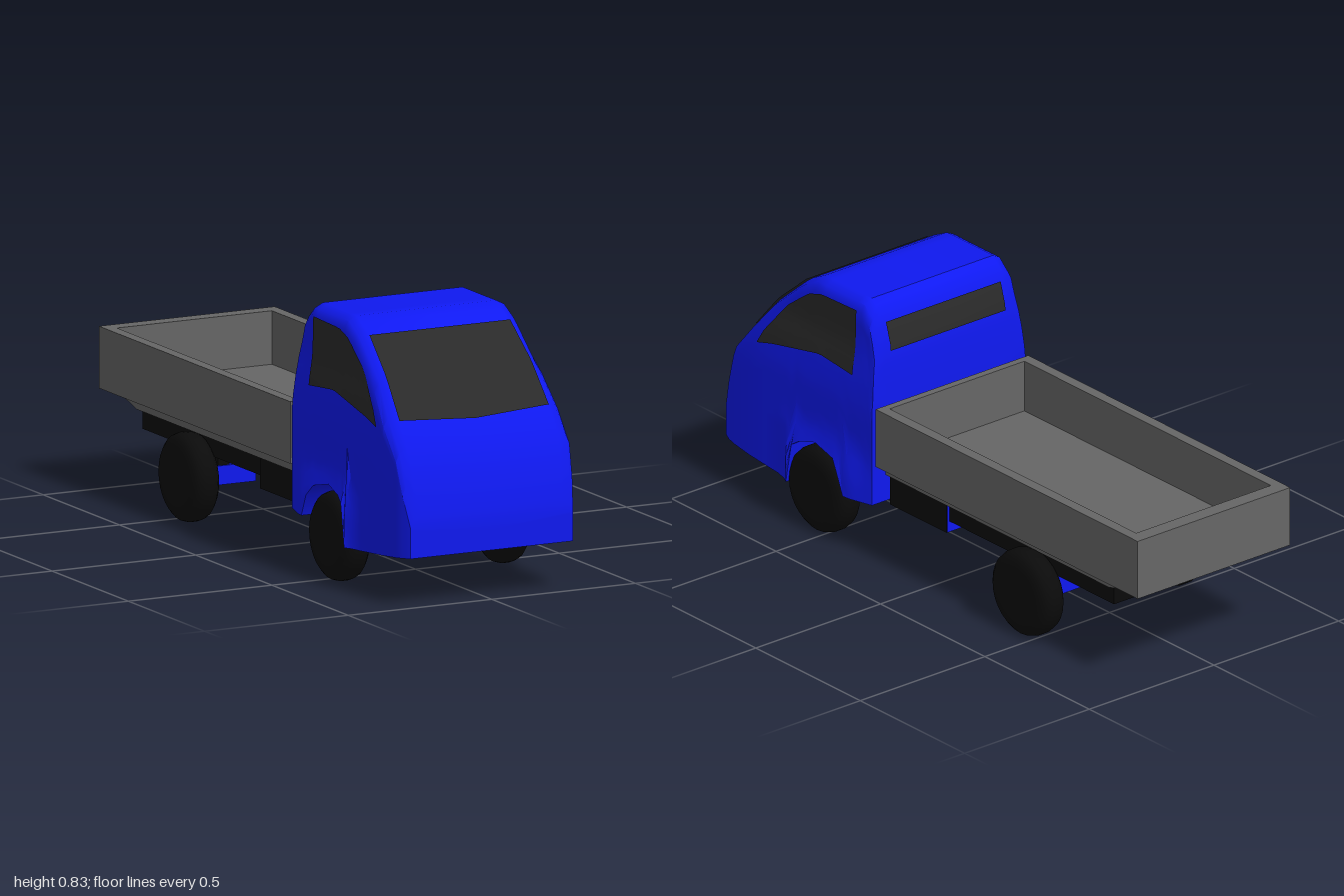
import * as THREE from 'three';
import { toCreasedNormals } from 'three/addons/utils/BufferGeometryUtils.js';

const paint = (color, side = THREE.FrontSide) => new THREE.MeshStandardMaterial({ color, side });
const BLUE = paint(0x0f19f0);
const GREY = paint(0x666666);
const BLACK = paint(0x0b0b0b);
const GLASS = paint(0x2a2a2a, THREE.DoubleSide);

// Piecewise linear lookup in a list of [input, output] pairs
function lookup(table, t) {
  if (t <= table[0][0]) return table[0][1];
  for (let i = 1; i < table.length; i++) {
    const [t0, v0] = table[i - 1], [t1, v1] = table[i];
    if (t <= t1) return v0 + (v1 - v0) * (t - t0) / (t1 - t0);
  }
  return table[table.length - 1][1];
}

// Skin over rows of points
function skin(rows, crease = 0.7) {
  const n = rows[0].length, index = [];
  for (let i = 0; i < rows.length - 1; i++) {
    for (let j = 0; j < n - 1; j++) {
      const a = i * n + j, b = a + 1, d = a + n, c = d + 1;
      index.push(a, b, c, a, c, d);
    }
  }
  const geometry = new THREE.BufferGeometry();
  geometry.setAttribute('position', new THREE.Float32BufferAttribute(rows.flat(2), 3));
  geometry.setIndex(index);
  return toCreasedNormals(geometry, crease);
}

// Cab outline: roof and windscreen line, sill with wheel arch, half width
const TOP = [[0.27, 0.58], [0.28, 0.7], [0.31, 0.8], [0.35, 0.835], [0.57, 0.835],
  [0.64, 0.8], [0.78, 0.68], [0.94, 0.49], [1, 0.29]];
const SILL = [[0.27, 0.18], [0.38, 0.18], [0.41, 0.25], [0.44, 0.285], [0.53, 0.305],
  [0.6, 0.285], [0.63, 0.265], [0.655, 0.13], [0.72, 0.13], [1, 0.155]];
const WIDTH = [[0.5, 0.308], [0.6, 0.298], [0.68, 0.286], [0.8, 0.283]];
const NOSE = [[0.88, 0], [0.96, 0.008], [1, 0.025]];
const FLARE_Z = [[0.27, 0], [0.36, 0.026], [0.65, 0.026], [0.7, 0]];
const FLARE_Y = [[0.25, 1], [0.35, 0]];

const halfWidth = (y, z) => lookup(WIDTH, y) - lookup(NOSE, z)
  + lookup(FLARE_Z, z) * lookup(FLARE_Y, y);

function cabSection(z) {
  const top = lookup(TOP, z), sill = lookup(SILL, z), half = [];
  for (let i = 0; i <= 14; i++) {
    const y = sill + (top - 0.04 - sill) * i / 14;
    half.push([halfWidth(y, z), y, z]);
  }
  const w = halfWidth(top, z);
  half.push([w - 0.012, top - 0.014, z], [w - 0.04, top, z]);
  const mirrored = half.map(([x, y]) => [-x, y, z]).reverse();
  return [[0, sill, z], ...half, [0, top, z], ...mirrored, [0, sill, z]];
}

function cabGeometry() {
  const stations = [0.27, 0.275, 0.28, 0.295, 0.31, 0.33, 0.35, 0.38, 0.41, 0.44, 0.485, 0.53,
    0.57, 0.6, 0.63, 0.655, 0.68, 0.72, 0.78, 0.86, 0.94, 0.97, 1];
  const rows = stations.map(cabSection);
  // Closed ends
  const cap = (row, y, z) => row.map(() => [0, y, z]);
  return skin([cap(rows[0], 0.38, 0.27), ...rows, cap(rows[0], 0.22, 1)]);
}

// Windscreen lying on the sloping front, its lower edge dipping in the middle
function windscreenGeometry() {
  const rows = [];
  for (let i = 0; i <= 10; i++) {
    const row = [];
    for (let j = -4; j <= 4; j++) {
      const s = j / 4, t = i / 10;
      const z = THREE.MathUtils.lerp(0.88 + 0.012 * (1 - Math.abs(s)), 0.655, t);
      row.push([s * (0.26 - 0.015 * t), lookup(TOP, z) + 0.004, z + 0.004]);
    }
    rows.push(row);
  }
  return skin(rows);
}

// Door window following the cab side
function sideWindowGeometry(side) {
  const upper = [[0.37, 0.8], [0.54, 0.795], [0.6, 0.775], [0.7, 0.7], [0.8, 0.58], [0.82, 0.542]];
  const lower = [[0.37, 0.585], [0.53, 0.6], [0.75, 0.557], [0.82, 0.538]];
  const rows = [];
  for (let i = 0; i <= 18; i++) {
    const z = 0.37 + 0.45 * i / 18, row = [];
    for (let j = 0; j <= 8; j++) {
      const y = THREE.MathUtils.lerp(lookup(lower, z), lookup(upper, z), j / 8);
      row.push([side * (halfWidth(y, z) + 0.004), y, z]);
    }
    rows.push(side > 0 ? row : row.reverse());
  }
  return skin(rows);
}

// Narrow window in the back of the cab
function rearWindowGeometry() {
  const rows = [[0.68, 0.278], [0.7, 0.28], [0.77, 0.301]].map(([y, z]) =>
    [[0.23, y, z - 0.005], [-0.23, y, z - 0.005]]);
  return skin(rows);
}

// Open tray: four walls around a rectangular well
function trayWallGeometry() {
  const rect = (Type, w, back, front) => new Type([[-w, -front], [w, -front], [w, -back], [-w, -back]]
    .map(([x, y]) => new THREE.Vector2(x, y)));
  const shape = rect(THREE.Shape, 0.306, -1, 0.255);
  shape.holes.push(rect(THREE.Path, 0.27, -0.95, 0.23));
  return new THREE.ExtrudeGeometry(shape, { depth: 0.195, bevelEnabled: false })
    .rotateX(-Math.PI / 2).translate(0, 0.316, 0);
}

// Sub-frame below the tray, sloping up at its tail
function subFrameGeometry() {
  const shape = new THREE.Shape([[-0.25, 0.28], [0.82, 0.28], [0.97, 0.32], [-0.25, 0.32]]
    .map(([x, y]) => new THREE.Vector2(x, y)));
  return new THREE.ExtrudeGeometry(shape, { depth: 0.54, bevelEnabled: false })
    .rotateY(Math.PI / 2).translate(-0.27, 0, 0);
}

// Tyre with softly rounded shoulders
function wheelGeometry() {
  const profile = [[0, -0.048], [0.09, -0.048], [0.118, -0.043], [0.134, -0.03], [0.14, -0.012],
    [0.14, 0.012], [0.134, 0.03], [0.118, 0.043], [0.09, 0.048], [0, 0.048]];
  return new THREE.LatheGeometry(profile.map(([r, h]) => new THREE.Vector2(r, h)), 28)
    .rotateZ(Math.PI / 2);
}

export function createModel() {
  const model = new THREE.Group();
  const add = (name, geometry, material, x = 0, y = 0, z = 0) => {
    const mesh = new THREE.Mesh(geometry, material);
    mesh.name = name;
    mesh.position.set(x, y, z);
    model.add(mesh);
    return mesh;
  };
  const box = (...size) => new THREE.BoxGeometry(...size);

  add('cab', cabGeometry(), BLUE);
  add('windscreen', windscreenGeometry(), GLASS);
  add('rearWindow', rearWindowGeometry(), GLASS);

  // Load bed
  add('trayWalls', trayWallGeometry(), GREY);
  add('trayFloor', box(0.6, 0.025, 1.24), GREY, 0, 0.33, -0.37);
  add('subFrame', subFrameGeometry(), GREY);

  // Chassis and the box behind the cab
  add('chassis', box(0.5, 0.07, 1.06), BLACK, 0, 0.252, -0.29);
  add('chassisBox', box(0.52, 0.1, 0.27), BLACK, 0, 0.23, 0.105);
  add('chassisBoxBack', box(0.516, 0.096, 0.004), BLUE, 0, 0.23, -0.031);

  const wheel = wheelGeometry();
  for (const [side, label] of [[1, 'left'], [-1, 'right']]) {
    add(label + 'DoorWindow', sideWindowGeometry(side), GLASS);
    add(label + 'FrontWheel', wheel, BLACK, side * 0.281, 0.14, 0.53);
    add(label + 'RearWheel', wheel, BLACK, side * 0.285, 0.14, -0.45);
    // Half axle and its hanger
    add(label + 'RearAxle', box(0.18, 0.06, 0.07), BLUE, side * 0.16, 0.141, -0.45);
    add(label + 'AxleHanger', box(0.04, 0.08, 0.06), BLACK, side * 0.18, 0.2, -0.45);
  }
  return model;
}
